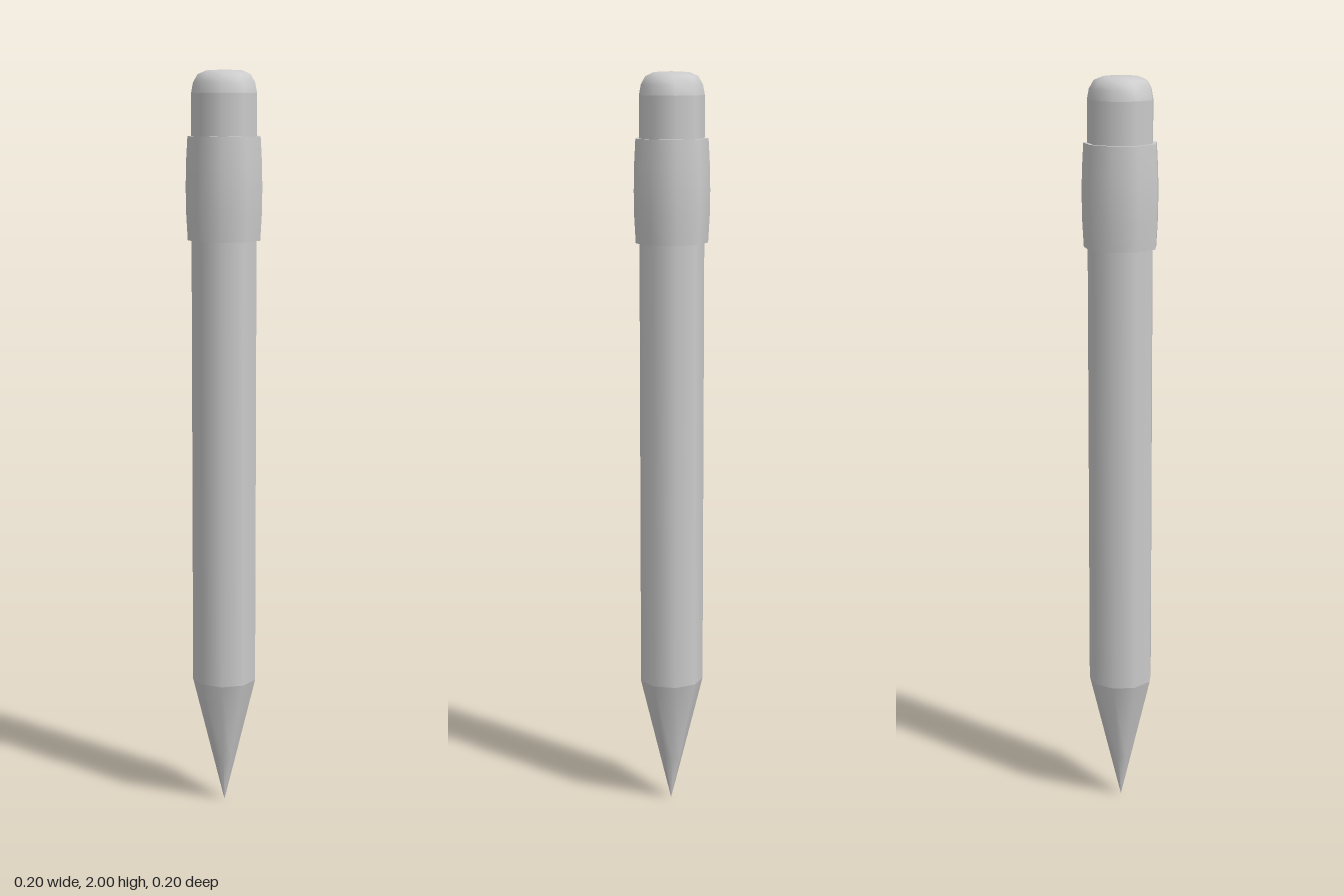
import * as THREE from 'three';

const SIDES = 9;
const R = 0.087; // shaft radius

export function createModel() {
  const pencil = new THREE.Group();
  pencil.name = 'pencil';
  const material = new THREE.MeshStandardMaterial({ color: 0xcccccc, side: THREE.DoubleSide });

  // Nine-sided lathe from [radius, height] pairs listed bottom to top, one corner on +x
  function turned(name, profile, parent = pencil) {
    const points = profile.map(([r, y]) => new THREE.Vector2(r, y));
    const geometry = new THREE.LatheGeometry(points, SIDES, Math.PI / 2);
    const mesh = new THREE.Mesh(geometry, material);
    mesh.name = name;
    parent.add(mesh);
    return mesh;
  }

  // Sharpened end
  turned('leadTip', [[0, 0], [0.031, 0.126]]);
  turned('sharpenedWood', [[0.031, 0.126], [R, 0.355]]);

  // Shaft
  turned('shaft', [[R, 0.355], [R, 1.58]]);

  // Slightly barrelled sleeve, closed by a flat rim at each end
  const ferrule = new THREE.Group();
  ferrule.name = 'ferrule';
  pencil.add(ferrule);
  turned('sleeve', [[0.097, 1.56], [0.101, 1.63], [0.102, 1.695], [0.101, 1.76], [0.097, 1.83]], ferrule);
  turned('lowerRim', [[R - 0.002, 1.56], [0.097, 1.56]], ferrule);
  turned('upperRim', [[0.097, 1.83], [R - 0.002, 1.83]], ferrule);

  // Rounded eraser
  turned('eraserSide', [[R, 1.81], [R, 1.94]]);
  turned('eraserTop', [[R, 1.94], [0.082, 1.967], [0.07, 1.988], [0.047, 1.998], [0, 2]]);

  // An odd number of sides is wider towards +x, so shift to centre it
  pencil.children.forEach((part) => { part.position.x = -0.003; });
  return pencil;
}
